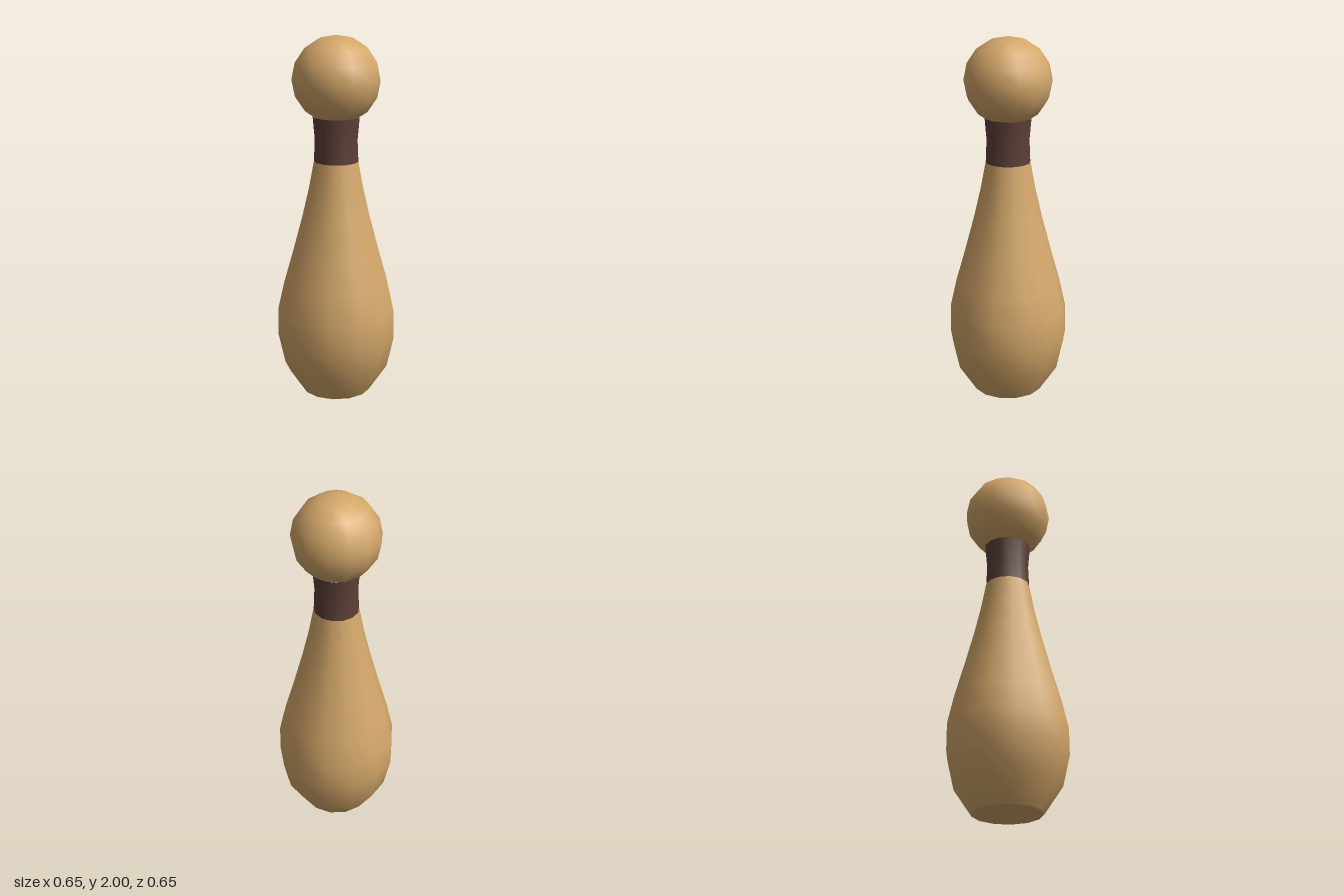
import * as THREE from 'three';

const SIDES = 13;

export function createModel() {
  const wood = new THREE.MeshStandardMaterial({ name: 'wood', color: 0xd4a76a });
  const brown = new THREE.MeshStandardMaterial({ name: 'brown', color: 0x5d4037 });
  const pin = new THREE.Group();
  pin.name = 'skittlePin';

  const add = (name, geometry, material, y = 0) => {
    const mesh = new THREE.Mesh(geometry, material);
    mesh.name = name;
    // An odd number of sides is recentred on x
    mesh.position.set(-0.005, y, 0);
    pin.add(mesh);
    return mesh;
  };

  // Turned surface from [radius, height] pairs, one corner on +x
  const turn = (profile) => new THREE.LatheGeometry(
    profile.map(([r, y]) => new THREE.Vector2(r, y)), SIDES, Math.PI / 2);

  // Swelling body, narrowing toward the neck
  add('body', turn([
    [0.19, 0], [0.29, 0.15], [0.328, 0.32], [0.327, 0.47], [0.291, 0.63],
    [0.24, 0.81], [0.187, 1.01], [0.15, 1.17], [0.122, 1.32],
  ]), wood);

  // Flat foot
  const base = add('base', new THREE.CircleGeometry(0.19, SIDES), wood);
  base.rotation.x = Math.PI / 2;

  // Painted neck band, its upper edge tucked against the head
  add('neckBand', turn([[0.122, 1.32], [0.117, 1.44], [0.128, 1.565]]), brown);

  // Ball head
  add('head', new THREE.SphereGeometry(0.24, SIDES, 8, Math.PI).scale(1, 0.99, 1), wood, 1.7624);

  return pin;
}
